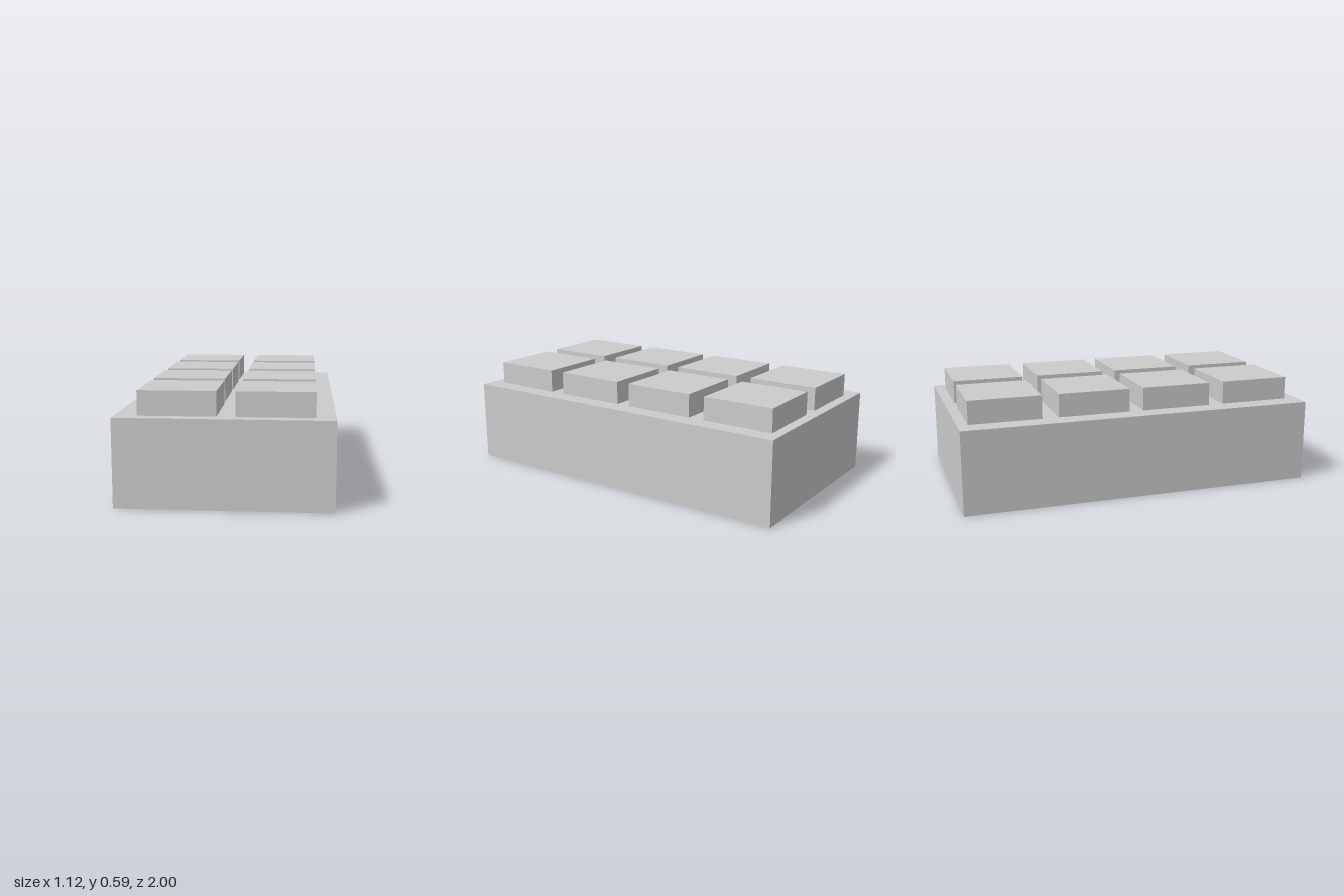
import * as THREE from 'three';

const BODY = { width: 1.115, height: 0.463, depth: 2 };
const STUD = { size: 0.402, height: 0.129 };

export function createModel() {
  const model = new THREE.Group();
  model.name = 'studdedBlock';
  const material = new THREE.MeshStandardMaterial({ color: 0xcccccc, flatShading: true });

  function addBox(name, width, height, depth, x, baseY, z) {
    const mesh = new THREE.Mesh(new THREE.BoxGeometry(width, height, depth), material);
    mesh.name = name;
    mesh.position.set(x, baseY + height / 2, z);
    model.add(mesh);
  }

  // Solid body
  addBox('body', BODY.width, BODY.height, BODY.depth, 0, 0, 0);

  // Square studs in two columns of four, slightly off centre
  const rows = [-0.741, -0.248, 0.234, 0.724];
  rows.forEach((z, row) => {
    const leftColumnX = 0.256;
    const rightColumnX = row === 3 ? -0.24 : -0.244;
    addBox(`leftStud${row + 1}`, STUD.size, STUD.height, STUD.size, leftColumnX, BODY.height, z);
    addBox(`rightStud${row + 1}`, STUD.size, STUD.height, STUD.size, rightColumnX, BODY.height, z);
  });

  return model;
}
